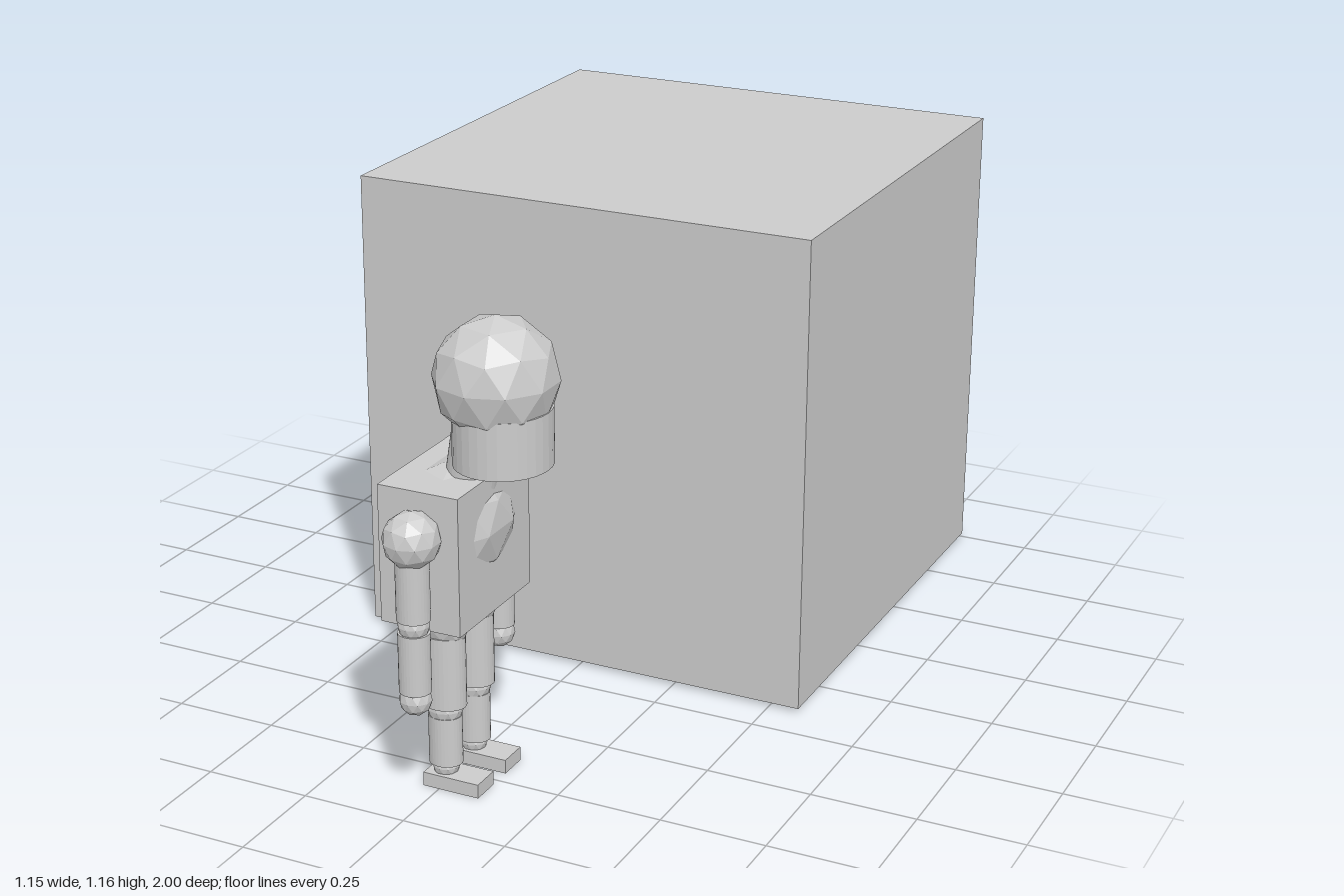
import * as THREE from 'three';

const material = new THREE.MeshStandardMaterial({ color: 0xcccccc, flatShading: true });

export function createModel() {
  const model = new THREE.Group();

  const add = (parent, name, geometry, x, y, z) => {
    const mesh = new THREE.Mesh(geometry, material);
    mesh.name = name;
    mesh.position.set(x, y, z);
    parent.add(mesh);
    return mesh;
  };
  // Faceted ball with a corner on top, stretched to three radii
  const ball = (rx, ry = rx, rz = rx) => new THREE.IcosahedronGeometry(1, 1)
    .rotateX(-Math.atan((1 + Math.sqrt(5)) / 2)).rotateY(Math.PI / 2).scale(rx, ry, rz);
  // Upright limb section between two heights
  const limb = (parent, name, x, z, y0, y1, rx, rz = rx) =>
    add(parent, name, new THREE.CylinderGeometry(1, 1, y1 - y0, 32).scale(rx, 1, rz), x, (y0 + y1) / 2, z);

  // Large block behind the figure
  add(model, 'block', new THREE.BoxGeometry(1.15, 1.15, 1.15), 0, 0.585, -0.425);

  // Figure, facing +x
  const figure = new THREE.Group();
  figure.name = 'figure';
  figure.position.z = 0.742;
  model.add(figure);

  add(figure, 'torso', new THREE.BoxGeometry(0.195, 0.32, 0.32), -0.001, 0.578, 0);
  add(figure, 'chest', ball(0.12, 0.142, 0.18), 0, 0.615, 0);
  add(figure, 'hips', ball(0.075, 0.065, 0.125), 0, 0.425, 0);

  // Head leans forward on a tilted neck
  const neck = limb(figure, 'neck', 0.053, 0, 0.68, 0.9, 0.057);
  neck.rotation.z = -0.16;
  add(figure, 'head', ball(0.14), 0.106, 0.96, 0);
  limb(figure, 'jaw', 0.121, 0, 0.77, 0.9, 0.109, 0.114);

  for (const side of [1, -1]) {
    // Arm
    const arm = new THREE.Group();
    arm.name = side > 0 ? 'rightArm' : 'leftArm';
    arm.position.z = side * 0.19;
    figure.add(arm);
    add(arm, 'shoulder', ball(0.065), 0, 0.64, 0);
    limb(arm, 'upperArm', 0, 0, 0.455, 0.64, 0.038, 0.036);
    add(arm, 'elbow', ball(0.036), 0, 0.442, 0);
    limb(arm, 'forearm', 0, 0, 0.285, 0.425, 0.036, 0.035);
    add(arm, 'hand', ball(0.037), 0, 0.265, 0);

    // Leg
    const leg = new THREE.Group();
    leg.name = side > 0 ? 'rightLeg' : 'leftLeg';
    leg.position.z = side * 0.064;
    figure.add(leg);
    limb(leg, 'thigh', 0, 0, 0.198, 0.37, 0.051, 0.042);
    add(leg, 'thighJoint', ball(0.062, 0.045, 0.045), 0, 0.39, 0);
    add(leg, 'knee', ball(0.042, 0.042, 0.038), 0, 0.187, 0);
    limb(leg, 'shin', 0, 0, 0.055, 0.172, 0.039, 0.035);
    add(leg, 'ankle', ball(0.031), 0, 0.046, 0);
    add(leg, 'foot', new THREE.BoxGeometry(0.138, 0.033, 0.072), 0.03, 0.0165, 0);
  }
  return model;
}
